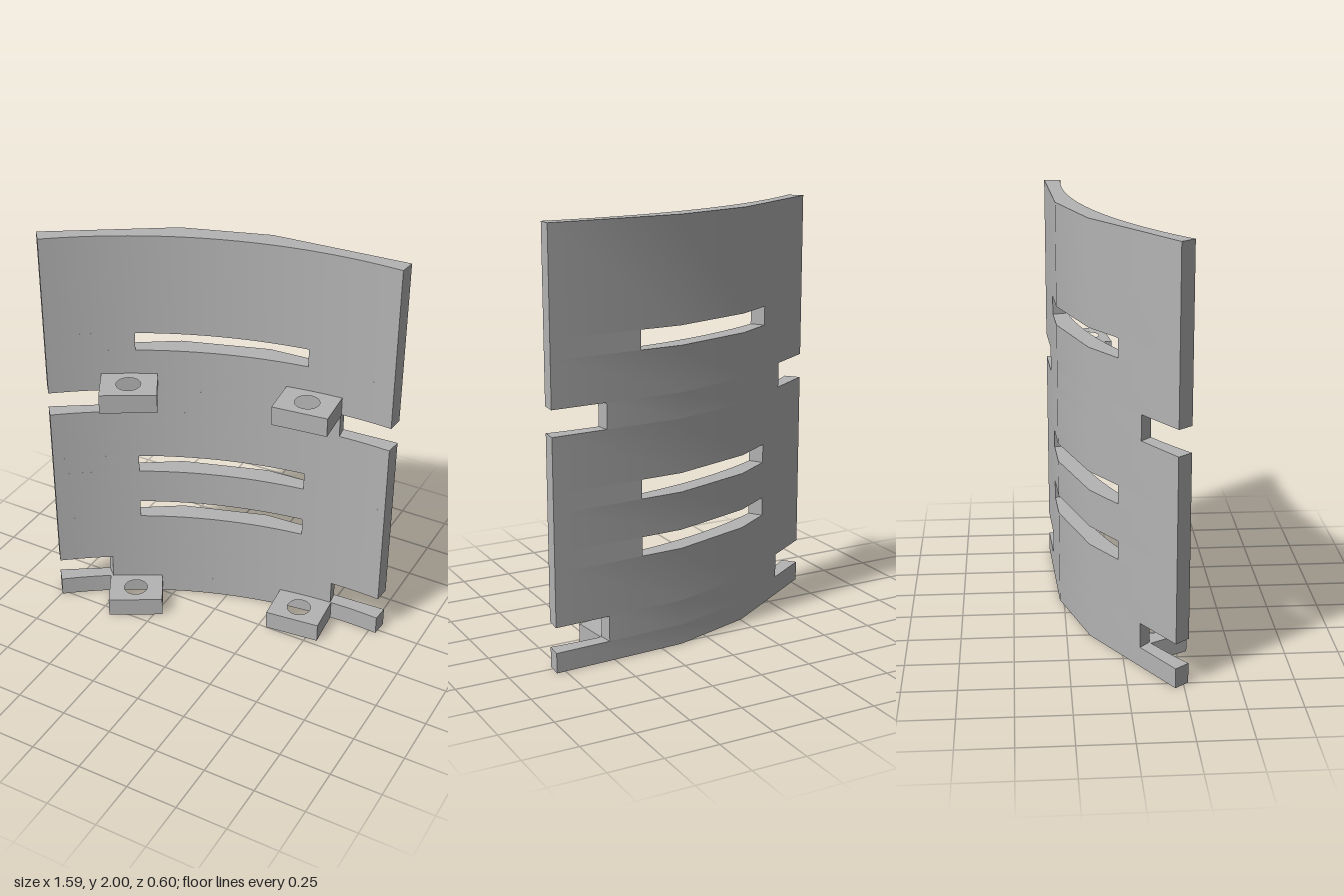
import * as THREE from 'three';
import { toCreasedNormals } from 'three/addons/utils/BufferGeometryUtils.js';

// Concave inner face: circular arc; outer face: three planes
const innerZ = (x) => 1.992 - Math.sqrt(2.22 * 2.22 - (x - 0.659) ** 2);
const OUTER = [[-0.795, 0.21], [-0.255, -0.14], [0.145, -0.27], [0.793, -0.305]];

function outerZ(x) {
  let i = 0;
  while (i < 2 && x > OUTER[i + 1][0]) i++;
  const [x0, z0] = OUTER[i], [x1, z1] = OUTER[i + 1];
  return z0 + (z1 - z0) * (x - x0) / (x1 - x0);
}

// Plan outline between two cut lines, each given as [inner x, outer x]
function section([in0, out0], [in1, out1]) {
  const pts = [];
  const n = Math.max(4, Math.ceil((in1 - in0) * 24));
  for (let i = 0; i <= n; i++) {
    const x = in0 + (in1 - in0) * i / n;
    pts.push([x, innerZ(x)]);
  }
  pts.push([out1, outerZ(out1)]);
  for (const p of [OUTER[2], OUTER[1]]) if (p[0] > out0 && p[0] < out1) pts.push(p);
  pts.push([out0, outerZ(out0)]);
  return pts;
}

const planShape = (pts) => new THREE.Shape(pts.map(([x, z]) => new THREE.Vector2(x, -z)));

// Extrude a plan shape upwards from y0 to y1
function prism(shape, y0, y1, material, name) {
  const geo = new THREE.ExtrudeGeometry(shape, { depth: y1 - y0, bevelEnabled: false, curveSegments: 24 });
  geo.rotateX(-Math.PI / 2);
  geo.translate(0, y0, 0);
  const mesh = new THREE.Mesh(toCreasedNormals(geo, 0.45), material);
  mesh.name = name;
  return mesh;
}

export function createModel() {
  const model = new THREE.Group();
  model.name = 'slottedCurvedPlate';
  const grey = new THREE.MeshStandardMaterial({ color: 0xb4b4b4 });
  grey.name = 'grey';

  const L = [-0.745, -0.795], R = [0.787, 0.793];
  const full = [[L, R]];
  const notched = [[[-0.53, -0.58], [0.535, 0.525]]];
  const slotted = [[L, [-0.4, -0.44]], [[0.37, 0.352], R]];

  // Plate, stacked in bands: solid, notched at the sides, or slotted
  const plate = new THREE.Group();
  plate.name = 'plate';
  const bands = [
    [0, full], [0.095, notched], [0.215, full], [0.47, slotted], [0.56, full], [0.74, slotted],
    [0.83, full], [1.085, notched], [1.205, full], [1.42, slotted], [1.51, full], [2],
  ];
  for (let i = 0; i < bands.length - 1; i++) {
    for (const [a, b] of bands[i][1]) {
      plate.add(prism(planShape(section(a, b)), bands[i][0], bands[i + 1][0], grey, 'plateBand'));
    }
  }
  model.add(plate);

  // Drilled lugs on the inner face, rooted slightly into the plate
  const lugs = [
    { name: 'rightLug', pts: [[-0.552, 0.105], [-0.322, -0.025], [-0.212, 0.165], [-0.445, 0.298]], hole: [-0.38, 0.143] },
    { name: 'leftLug', pts: [[0.268, -0.215], [0.537, -0.25], [0.558, -0.03], [0.291, 0]], hole: [0.415, -0.115] },
  ];
  for (const { name, pts, hole } of lugs) {
    for (const y of [0, 1.2]) {
      const shape = planShape(pts);
      shape.holes.push(new THREE.Path().absarc(hole[0], -hole[1], 0.058, 0, Math.PI * 2, true));
      model.add(prism(shape, y, y + 0.095, grey, name));
    }
  }
  return model;
}
